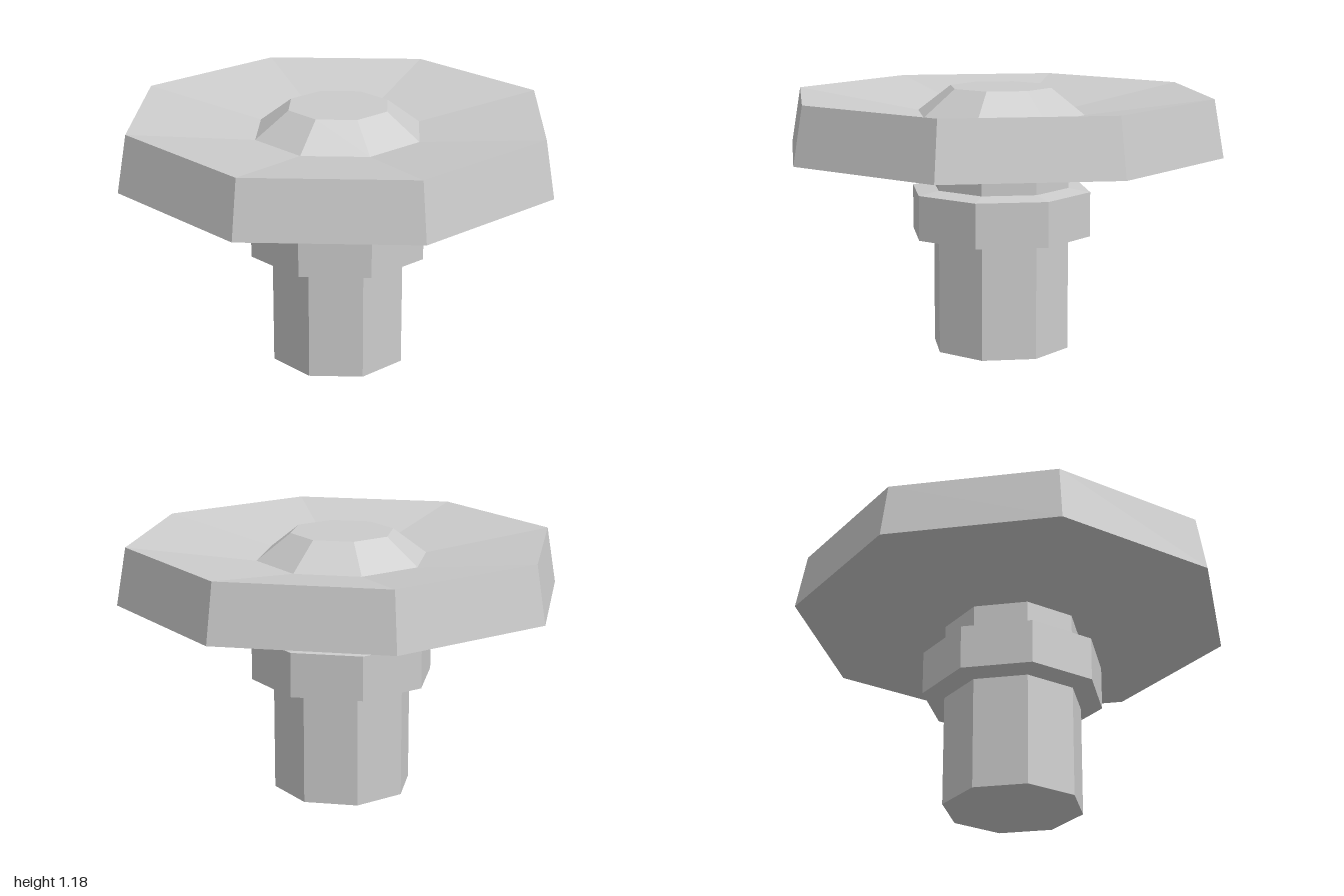
import * as THREE from 'three';

const SIDES = 8;

// Octagonal band turned from [radius, height] points, corners on the x and z axes
function turned(name, profile, material) {
  const points = profile.map(([r, y]) => new THREE.Vector2(r, y));
  const mesh = new THREE.Mesh(new THREE.LatheGeometry(points, SIDES), material);
  mesh.name = name;
  return mesh;
}

export function createModel() {
  const group = new THREE.Group();
  group.name = 'handwheel';
  const material = new THREE.MeshStandardMaterial({ color: 0xcccccc, flatShading: true });

  // Sections run from the base upward and share their end rings
  const sections = {
    // Shaft with closed base
    stem: [[0, 0], [0.314, 0], [0.314, 0.505]],
    // Wider ring with shallow sloped shoulders
    collar: [[0.314, 0.505], [0.413, 0.52], [0.413, 0.72], [0.314, 0.735]],
    // Shaft between collar and wheel
    neck: [[0.314, 0.735], [0.314, 0.862]],
    // Slightly conical underside, tapered rim and dished top
    wheel: [[0.314, 0.862], [1, 0.895], [0.955, 1.15], [0.385, 1.063]],
    // Raised centre with flat cap
    hub: [[0.385, 1.063], [0.232, 1.18], [0, 1.18]],
  };
  for (const [name, profile] of Object.entries(sections)) {
    group.add(turned(name, profile, material));
  }
  return group;
}
